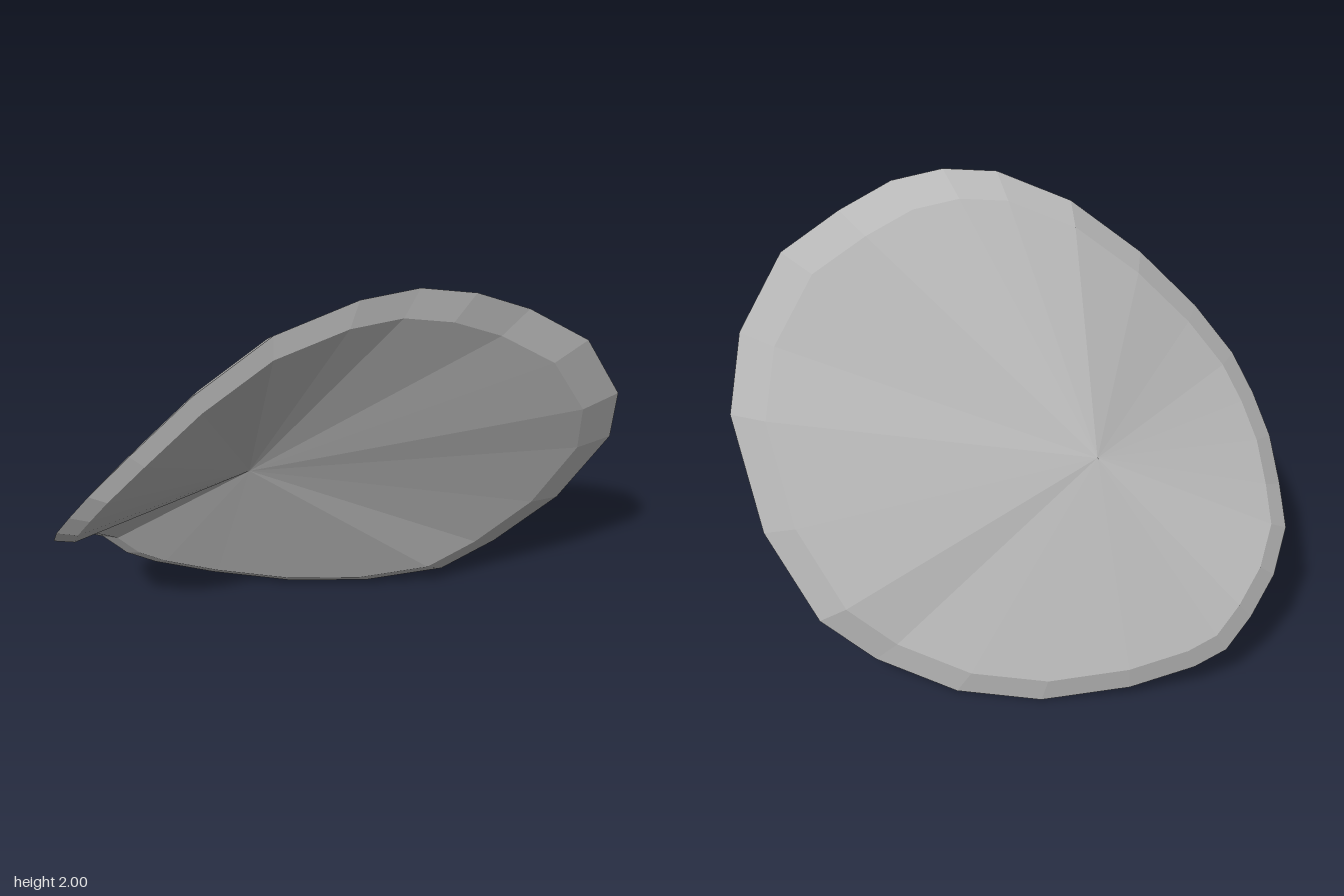
import * as THREE from 'three';

// Outer edge of the shell, counter-clockwise seen from +x: [x, y, z]
const RIM = [
  [0.5, 2.0, -0.03], [0.4, 1.98, 0.15], [0.23, 1.86, 0.38], [0.07, 1.64, 0.61],
  [-0.07, 1.4, 0.8], [-0.2, 1.2, 0.91], [-0.31, 1.05, 0.94], [-0.43, 0.9, 0.94],
  [-0.56, 0.75, 0.89], [-0.7, 0.65, 0.8], [-0.79, 0.53, 0.66], [-0.82, 0.4, 0.52],
  [-0.8, 0.26, 0.42], [-0.74, 0.18, 0.31], [-0.6, 0.08, 0.09], [-0.38, 0.0, -0.2],
  [-0.14, 0.01, -0.46], [0.12, 0.12, -0.69], [0.28, 0.3, -0.85], [0.52, 0.65, -0.94],
  [0.74, 1.1, -0.92], [0.82, 1.4, -0.8], [0.79, 1.7, -0.6], [0.68, 1.86, -0.39],
  [0.6, 1.96, -0.2],
].map((p) => new THREE.Vector3(...p));

const NORMAL = new THREE.Vector3(0.85, -0.3, 0.42).normalize();
const INNER_APEX = new THREE.Vector3(-0.17, 0.97, 0.19);
const OUTER_APEX = new THREE.Vector3(-0.3, 1.05, 0.12);

// Edge loop drawn in towards an apex and lifted off the middle of the shell
const inset = (apex, lift) =>
  RIM.map((p) => p.clone().lerp(apex, 0.1).addScaledVector(NORMAL, lift));

function facets(triangles, name, material) {
  const geometry = new THREE.BufferGeometry().setFromPoints(triangles);
  geometry.computeVertexNormals();
  const mesh = new THREE.Mesh(geometry, material);
  mesh.name = name;
  return mesh;
}

// Triangle fan from an apex to a loop
function fan(apex, loop, flip) {
  return loop.flatMap((p, i) => {
    const q = loop[(i + 1) % loop.length];
    return flip ? [apex, q, p] : [apex, p, q];
  });
}

// Strip of quads between two loops
function band(a, b) {
  return a.flatMap((p, i) => {
    const j = (i + 1) % a.length;
    return [p, b[i], b[j], p, b[j], a[j]];
  });
}

export function createModel() {
  const grey = new THREE.MeshStandardMaterial({ color: 0xb8b8b8 });
  grey.name = 'stone grey';
  grey.flatShading = true;

  const innerLoop = inset(INNER_APEX, 0.04);
  const outerLoop = inset(OUTER_APEX, -0.04);

  const group = new THREE.Group();
  group.name = 'curvedShell';
  group.add(
    facets(fan(INNER_APEX, innerLoop, false), 'dishedFace', grey),
    facets([...band(innerLoop, RIM), ...band(RIM, outerLoop)], 'bevelledRim', grey),
    facets(fan(OUTER_APEX, outerLoop, true), 'backFace', grey),
  );
  return group;
}
